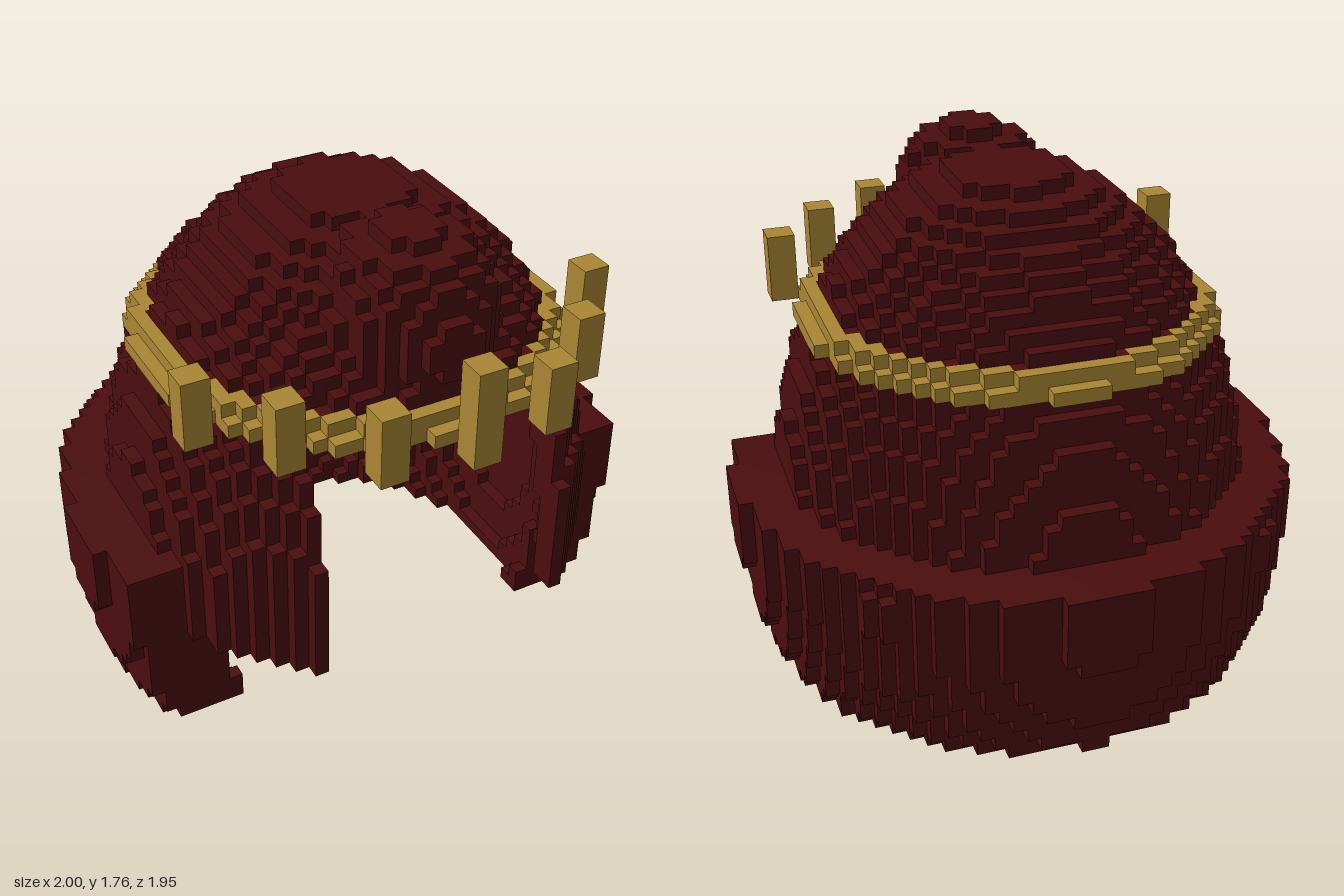
import * as THREE from 'three';

const S = 2 / 42;                 // edge length of one block
const NX = 42, NY = 37, NZ = 41;  // block grid
const CY = 0.55, CZ = 1.5 * S;    // shared centre of the rounded shells

const inEllipsoid = (x, y, z, rx, ry, rz, cy = CY, cz = CZ) =>
  (x / rx) ** 2 + ((y - cy) / ry) ** 2 + ((z - cz) / rz) ** 2 <= 1;

// Circlet: two rows of blocks hugging the dome
const isBand = (x, y, z, row) =>
  (row === 25 || row === 26) &&
  inEllipsoid(x, y, z, 0.866, 1.18, 0.9) && !inEllipsoid(x, y, z, 0.803, 1.18, 0.84);

// Hollow hood with a tall face opening, cut away low at the front
function isHood(x, y, z, row) {
  if (isBand(x, y, z, row)) return false;
  if (!inEllipsoid(x, y, z, 0.82, 1.18, 0.862)) return false;
  if (inEllipsoid(x, y, z, 0.73, 1.09, 0.77)) return false;
  if (row < 25 && z > 0.07 && Math.abs(x) < 0.43) return false;
  return row >= 8 || z < 0.4;
}

// Thick collar around the sides and back
const isCollar = (x, y, z, row) =>
  row < 14 && z < 0.4 &&
  inEllipsoid(x, y, z, 0.987, 1.18, 1.038) && !inEllipsoid(x, y, z, 0.82, 1.18, 0.862);

// Rounded bump above the brow
const isBump = (x, y, z, row) =>
  row >= 27 && inEllipsoid(x, y, z, 0.27, 0.285, 0.3, 1.475, 0.475) &&
  !inEllipsoid(x, y, z, 0.82, 1.18, 0.862);

// Build the outer faces of all blocks that satisfy a rule
function blockGeometry(rule) {
  const filled = (i, j, k) =>
    i >= 0 && j >= 0 && k >= 0 && i < NX && j < NY && k < NZ &&
    rule((i - 20.5) * S, (j + 0.5) * S, (k - 20) * S, j);
  const position = [], normal = [], index = [];
  for (let i = 0; i < NX; i++) for (let j = 0; j < NY; j++) for (let k = 0; k < NZ; k++) {
    if (!filled(i, j, k)) continue;
    const c = [(i - 20.5) * S, (j + 0.5) * S, (k - 20) * S];
    for (let axis = 0; axis < 3; axis++) for (const sign of [-1, 1]) {
      const n = [0, 0, 0];
      n[axis] = sign;
      if (filled(i + n[0], j + n[1], k + n[2])) continue;
      const u = (axis + 1) % 3, v = (axis + 2) % 3, first = position.length / 3;
      for (const [a, b] of [[-1, -1], [1, -1], [1, 1], [-1, 1]]) {
        const p = [...c];
        p[axis] += sign * S / 2;
        p[u] += a * S / 2;
        p[v] += b * S / 2;
        position.push(...p);
        normal.push(...n);
      }
      const order = sign > 0 ? [0, 1, 2, 0, 2, 3] : [0, 2, 1, 0, 3, 2];
      index.push(...order.map((o) => first + o));
    }
  }
  const geometry = new THREE.BufferGeometry();
  geometry.setAttribute('position', new THREE.Float32BufferAttribute(position, 3));
  geometry.setAttribute('normal', new THREE.Float32BufferAttribute(normal, 3));
  geometry.setIndex(index);
  return geometry;
}

export function createModel() {
  const group = new THREE.Group();
  const darkRed = new THREE.MeshStandardMaterial({ color: 0x4a0d0e });
  darkRed.name = 'dark red';
  const gold = new THREE.MeshStandardMaterial({ color: 0xaa8734 });
  gold.name = 'gold';

  const add = (name, geometry, material) => {
    const mesh = new THREE.Mesh(geometry, material);
    mesh.name = name;
    group.add(mesh);
    return mesh;
  };

  add('hood', blockGeometry(isHood), darkRed);
  add('collar', blockGeometry(isCollar), darkRed);
  add('browBump', blockGeometry(isBump), darkRed);
  add('crownBand', blockGeometry(isBand), gold);

  // Crown points: [x centre, z centre, height] in blocks, mirrored left and right
  const points = [[0, 19.5, 7], [6, 18.5, 5], [11, 14.5, 5], [15, 9.5, 5]];
  for (const [x, z, h] of points) for (const side of x ? [1, -1] : [1]) {
    add('crownPoint', new THREE.BoxGeometry(2 * S, h * S, 2 * S), gold)
      .position.set(side * x * S, (25 + h / 2) * S, z * S);
  }
  return group;
}
